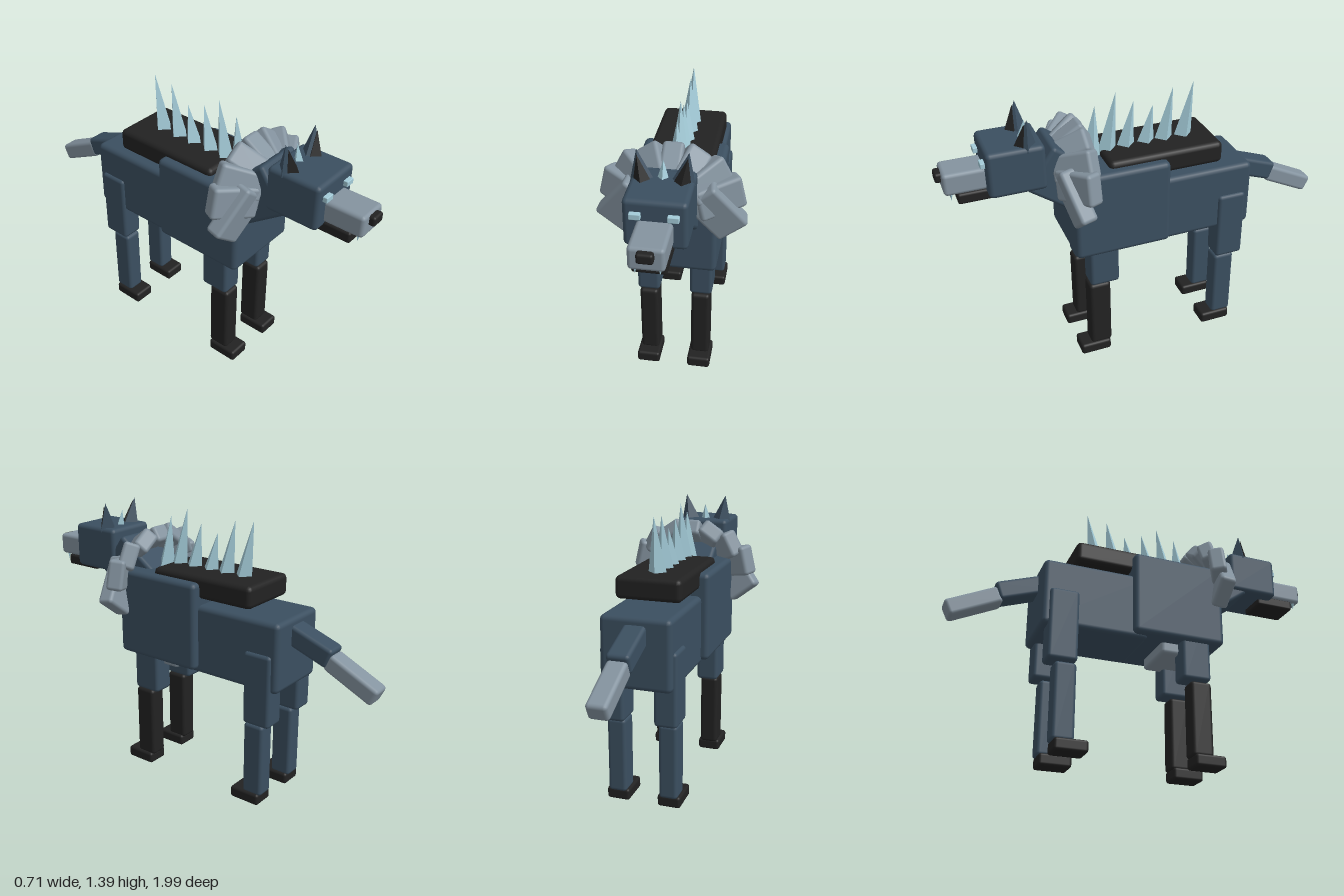
import * as THREE from 'three';
import { RoundedBoxGeometry } from 'three/addons/geometries/RoundedBoxGeometry.js';

const mat = (name, color, flatShading = false) => {
  const m = new THREE.MeshStandardMaterial({ color, flatShading });
  m.name = name;
  return m;
};

export function createModel() {
  const slate = mat('slate fur', 0x3b4f60);
  const grey = mat('pale grey fur', 0x84939f);
  const black = mat('black', 0x222222);
  const ice = mat('ice blue', 0xa3cbd8);
  const slateFlat = slate, iceFlat = ice;
  const model = new THREE.Group();
  model.name = 'wolf';
  const V = (a) => new THREE.Vector3(...a);

  const add = (name, geometry, material) => {
    const mesh = new THREE.Mesh(geometry, material);
    mesh.name = name;
    model.add(mesh);
    return mesh;
  };

  // Rounded box given by its x, y and z ranges
  const box = (name, m, [x0, x1], [y0, y1], [z0, z1], r = 0.018) => {
    const mesh = add(name, new RoundedBoxGeometry(x1 - x0, y1 - y0, z1 - z0, 2, r), m);
    mesh.position.set((x0 + x1) / 2, (y0 + y1) / 2, (z0 + z1) / 2);
    return mesh;
  };

  // Rounded box running from one point to another
  const bar = (name, m, from, to, width, thick, r = 0.018) => {
    const a = V(from), b = V(to), y = b.clone().sub(a);
    const len = y.length();
    y.normalize();
    const x = new THREE.Vector3().crossVectors(y, new THREE.Vector3(0, 0, 1)).normalize();
    const z = new THREE.Vector3().crossVectors(x, y);
    const mesh = add(name, new RoundedBoxGeometry(width, len, thick, 2, r), m);
    mesh.quaternion.setFromRotationMatrix(new THREE.Matrix4().makeBasis(x, y, z));
    mesh.position.copy(a).add(b).multiplyScalar(0.5);
    return mesh;
  };

  // Four-sided spike with a level base, sheared so its tip lands on a point
  const spike = (name, m, base, tip, radius) => {
    const h = tip[1] - base[1];
    const g = new THREE.ConeGeometry(radius, Math.abs(h), 4).toNonIndexed();
    if (h < 0) g.rotateX(Math.PI);
    g.translate(0, h / 2, 0);
    const p = g.attributes.position;
    for (let i = 0; i < p.count; i++) {
      const t = p.getY(i) / h;
      p.setX(i, p.getX(i) + t * (tip[0] - base[0]));
      p.setZ(i, p.getZ(i) + t * (tip[2] - base[2]));
    }
    g.computeVertexNormals();
    add(name, g, m).position.set(...base);
  };

  // Trunk
  box('chest', slate, [-0.213, 0.213], [0.64, 1.087], [-0.085, 0.405], 0.025);
  box('hindBody', slate, [-0.175, 0.175], [0.622, 0.973], [-0.547, 0], 0.025);
  box('bellyTuft', grey, [-0.13, 0.13], [0.585, 0.7], [0.09, 0.29]);
  box('backPlate', black, [-0.165, 0.165], [1.005, 1.117], [-0.38, 0.21], 0.025);
  bar('neck', slate, [0, 0.92, 0.245], [0, 1.132, 0.537], 0.25, 0.25, 0.02);

  // Tail
  bar('tailBase', slate, [0, 0.905, -0.49], [0, 0.813, -0.745], 0.112, 0.1);
  bar('tailTip', grey, [0, 0.802, -0.728], [0, 0.68, -0.98], 0.1, 0.088);

  // Head
  box('head', slate, [-0.138, 0.138], [1.03, 1.258], [0.505, 0.78], 0.022);
  box('snout', grey, [-0.078, 0.078], [1.055, 1.165], [0.74, 0.972]);
  box('nose', black, [-0.036, 0.036], [1.108, 1.156], [0.95, 1.0], 0.012);
  box('jaw', black, [-0.076, 0.076], [1.0, 1.055], [0.7, 0.915], 0.012);
  spike('crownSpike', iceFlat, [0, 1.25, 0.58], [0, 1.335, 0.565], 0.026);

  // Legs, eyes, ears and fangs, mirrored
  for (const s of [1, -1]) {
    const xs = (a, b) => (s > 0 ? [a, b] : [-b, -a]);
    box('frontThigh', slate, xs(0.075, 0.188), [0.44, 0.82], [0.18, 0.333]);
    box('frontShin', black, xs(0.084, 0.178), [0.05, 0.435], [0.225, 0.338]);
    box('frontPaw', black, xs(0.073, 0.19), [0, 0.06], [0.235, 0.397], 0.014);
    box('hindThigh', slate, xs(0.075, 0.19), [0.44, 0.812], [-0.515, -0.365]);
    box('hindShin', slate, xs(0.084, 0.178), [0.05, 0.435], [-0.475, -0.365]);
    box('hindPaw', black, xs(0.073, 0.19), [0, 0.06], [-0.465, -0.3], 0.014);
    box('eye', ice, xs(0.056, 0.105), [1.178, 1.206], [0.77, 0.802], 0.004);
    spike('ear', slateFlat, [s * 0.085, 1.235, 0.588], [s * 0.112, 1.385, 0.578], 0.056);
    spike('innerEar', black, [s * 0.083, 1.24, 0.606], [s * 0.109, 1.365, 0.592], 0.042);
    spike('fang', ice, [s * 0.052, 1.06, 0.94], [s * 0.052, 1.02, 0.94], 0.01);
  }

  // Mane plates fanned around the neck: inner end, outer end, width
  const plates = [
    [[0, 1.15, 0.45], [0, 1.255, 0.285], 0.1],
    [[0.05, 1.14, 0.45], [0.115, 1.235, 0.29], 0.12],
    [[0.09, 1.1, 0.45], [0.235, 1.175, 0.305], 0.135],
    [[0.12, 1.04, 0.44], [0.315, 1.085, 0.33], 0.155],
    [[0.13, 1.1, 0.43], [0.29, 0.895, 0.375], 0.172],
  ];
  plates.forEach(([a, b, w], i) => {
    for (const s of i ? [1, -1] : [1]) {
      bar('manePlate', grey, [s * a[0], a[1], a[2]], [s * b[0], b[1], b[2]], w, 0.085);
    }
  });

  // Row of ice spikes along the spine: base z, tip y, tip z
  const row = [
    [0.255, 1.345, 0.225], [0.175, 1.395, 0.12], [0.08, 1.335, 0.03],
    [-0.025, 1.3, -0.07], [-0.12, 1.375, -0.175], [-0.225, 1.39, -0.283],
  ];
  for (const [z, ty, tz] of row) spike('spineSpike', iceFlat, [0, 1.08, z], [0, ty, tz], 0.052);

  return model;
}
